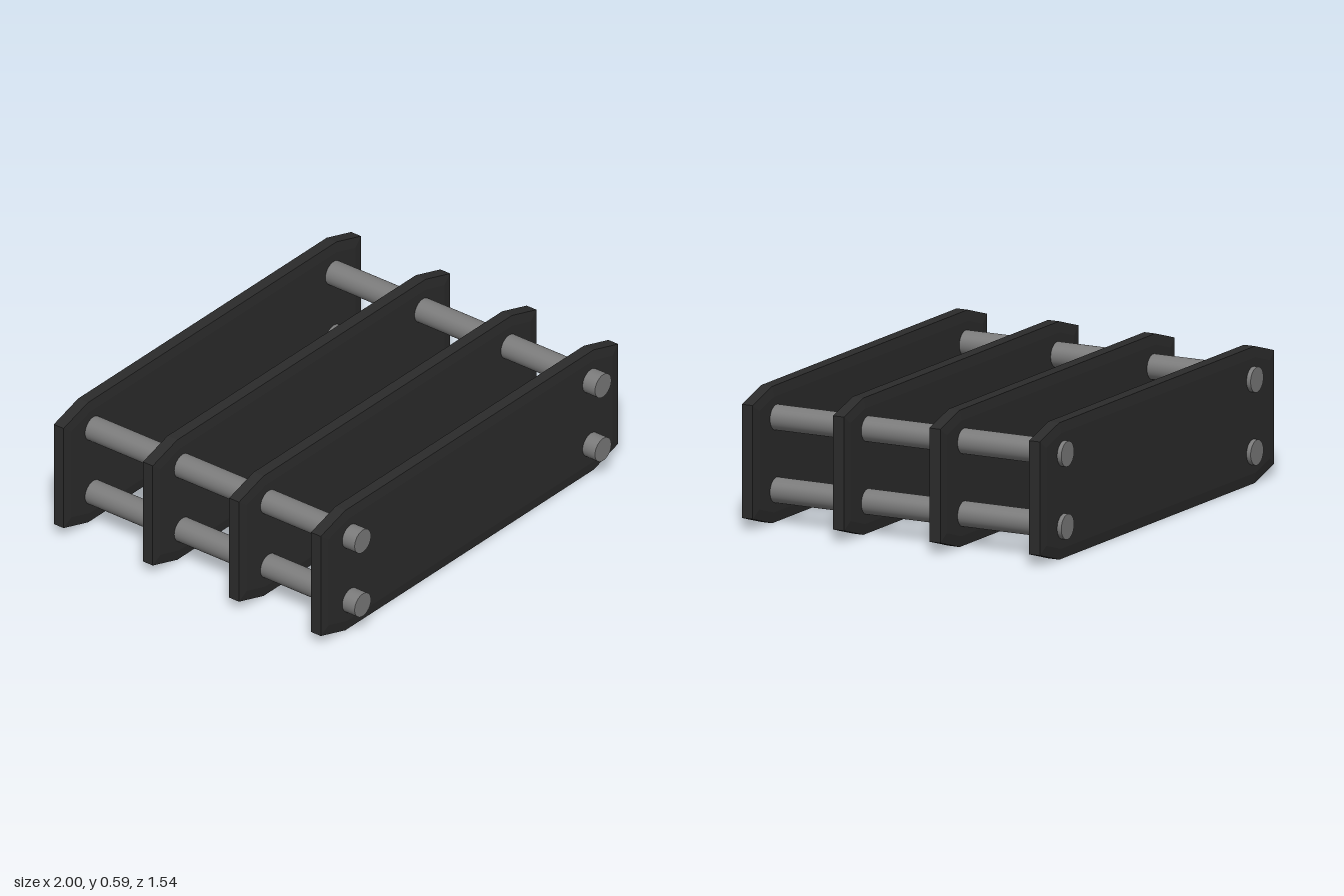
import * as THREE from 'three';

const HEIGHT = 0.592;
const THICKNESS = 0.065;
const BEVEL = 0.006;

// Plate outline: a long rectangle with its four corners cut, edges slightly tapered
function plateGeometry() {
  const shape = new THREE.Shape([
    [-0.835, 0], [0.835, 0], [1, 0.05], [1, HEIGHT - 0.05],
    [0.835, HEIGHT], [-0.835, HEIGHT], [-1, HEIGHT - 0.05], [-1, 0.05],
  ].map(([x, y]) => new THREE.Vector2(x, y)));
  const depth = THICKNESS - 2 * BEVEL;
  const geometry = new THREE.ExtrudeGeometry(shape, {
    depth, bevelEnabled: true, bevelThickness: BEVEL,
    bevelSize: 0.046, bevelOffset: -0.046, bevelSegments: 1,
  });
  return geometry.translate(0, 0, -depth / 2);
}

export function createModel() {
  const model = new THREE.Group();
  const plateMaterial = new THREE.MeshStandardMaterial({ color: 0x2b2b2b });
  const rodMaterial = new THREE.MeshStandardMaterial({ color: 0x7a7a7a });

  // Four upright plates, front to back
  const plateShape = plateGeometry();
  [0.673, 0.23, -0.237, -0.72].forEach((z, i) => {
    const plate = new THREE.Mesh(plateShape, plateMaterial);
    plate.name = `plate${i + 1}`;
    plate.position.z = z;
    model.add(plate);
  });

  // Four round rods running through every plate
  const rodShape = new THREE.CylinderGeometry(0.055, 0.055, 1.545, 32).rotateX(Math.PI / 2);
  for (const [side, x] of [['left', 0.808], ['right', -0.808]]) {
    for (const [level, y] of [['Upper', 0.455], ['Lower', 0.14]]) {
      const rod = new THREE.Mesh(rodShape, rodMaterial);
      rod.name = `${side}${level}Rod`;
      rod.position.set(x, y, 0);
      model.add(rod);
    }
  }
  return model;
}
